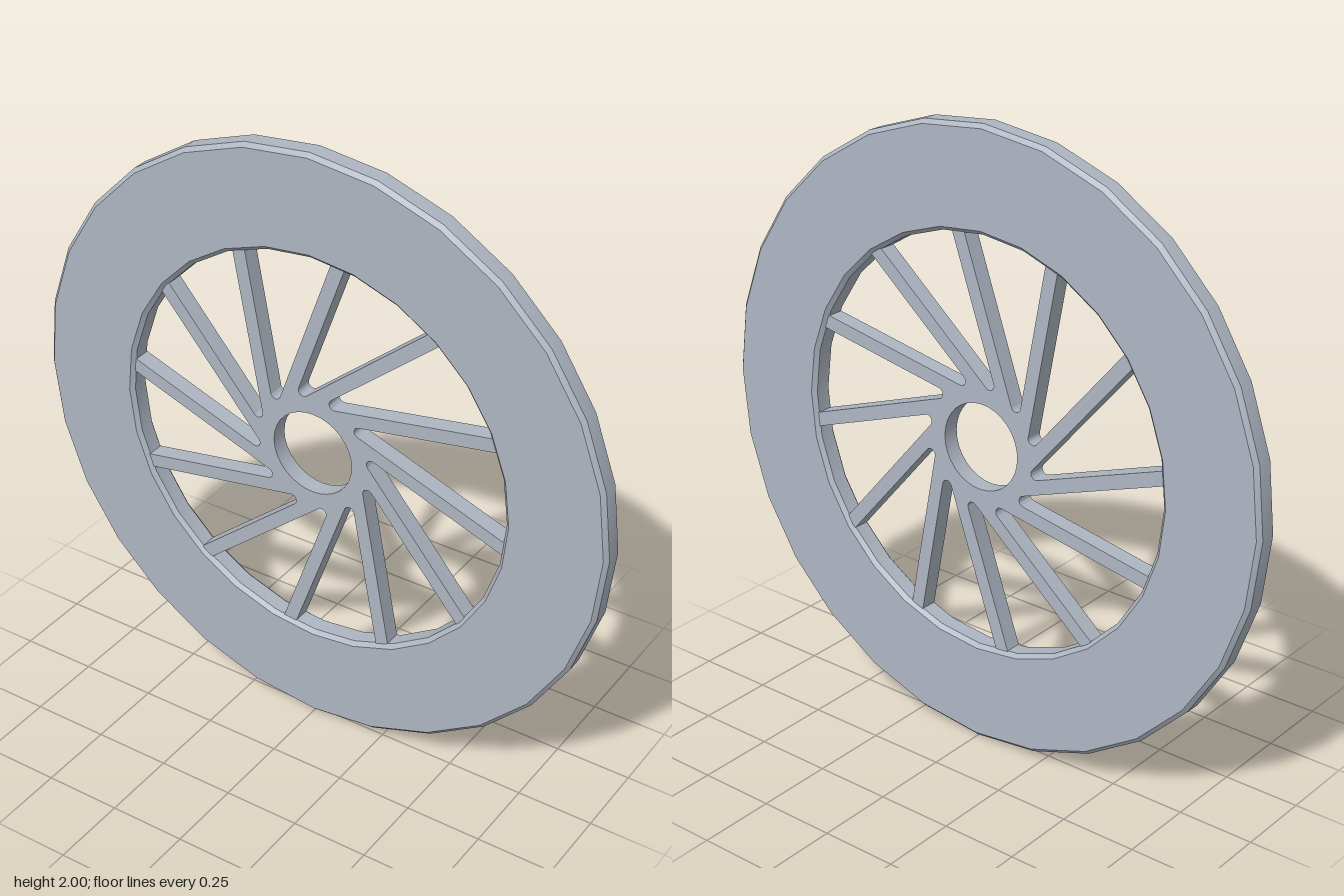
import * as THREE from 'three';
import { toCreasedNormals } from 'three/addons/utils/BufferGeometryUtils.js';

const SPOKES = 12;
const PITCH = (Math.PI * 2) / SPOKES;
const START = THREE.MathUtils.degToRad(10);
const REACH = 0.69;          // slots end inside the rim, so spokes sink into it
const INNER_OFF = 0.118;     // distances of the two spoke edges from the centre
const OUTER_OFF = 0.163;
const FILLET = 0.0175;

function circlePoints(radius, count) {
  return Array.from({ length: count }, (_, i) => {
    const a = (i / count) * Math.PI * 2;
    return new THREE.Vector2(Math.cos(a) * radius, Math.sin(a) * radius);
  });
}

// Wedge-shaped opening between two neighbouring spokes, rounded at the hub
function slot(angle) {
  const a0 = angle + Math.asin(OUTER_OFF / REACH);
  const a1 = angle + PITCH + Math.asin(INNER_OFF / REACH);
  const s = (OUTER_OFF * Math.cos(PITCH) - INNER_OFF) / Math.sin(PITCH);
  const d = FILLET / Math.sin(PITCH / 2);
  const c = new THREE.Vector2(s + d * Math.cos(PITCH / 2), OUTER_OFF + FILLET)
    .rotateAround(new THREE.Vector2(), angle);
  const path = new THREE.Path();
  path.absarc(0, 0, REACH, a0, a1, false);
  path.absarc(c.x, c.y, FILLET, angle + PITCH + Math.PI / 2, angle + Math.PI * 1.5, false);
  path.closePath();
  return path;
}

export function createModel() {
  const model = new THREE.Group();
  model.name = 'spokedWheel';
  const metal = new THREE.MeshStandardMaterial({ color: 0xaeb6c2 });
  metal.name = 'blueGreyMetal';

  // Wide flat rim with small chamfers
  const h = 0.039, c = 0.013, inner = 0.67, outer = 1;
  const profile = [
    [inner + c, -h], [outer - c, -h], [outer, -h + c], [outer, h - c],
    [outer - c, h], [inner + c, h], [inner, h - c], [inner, -h + c], [inner + c, -h],
  ].map(([x, y]) => new THREE.Vector2(x, y));
  const rimGeometry = new THREE.LatheGeometry(profile, 28);
  rimGeometry.rotateX(Math.PI / 2);
  const rim = new THREE.Mesh(toCreasedNormals(rimGeometry, 0.5), metal);
  rim.name = 'rim';

  // Hub and slanted spokes cut from one disc
  const disc = new THREE.Shape(circlePoints(0.72, 48));
  disc.holes.push(new THREE.Path(circlePoints(0.14, 32)));
  for (let i = 0; i < SPOKES; i++) disc.holes.push(slot(START + i * PITCH));
  const depth = 0.056;
  const spokeGeometry = new THREE.ExtrudeGeometry(disc, { depth, bevelEnabled: false, curveSegments: 8 });
  spokeGeometry.translate(0, 0, -depth / 2);
  const spokes = new THREE.Mesh(toCreasedNormals(spokeGeometry, 0.5), metal);
  spokes.name = 'hubAndSpokes';

  // The wheel leans forward very slightly
  model.add(rim, spokes);
  for (const part of model.children) {
    part.position.y = 1;
    part.rotation.x = 0.014;
  }
  return model;
}
